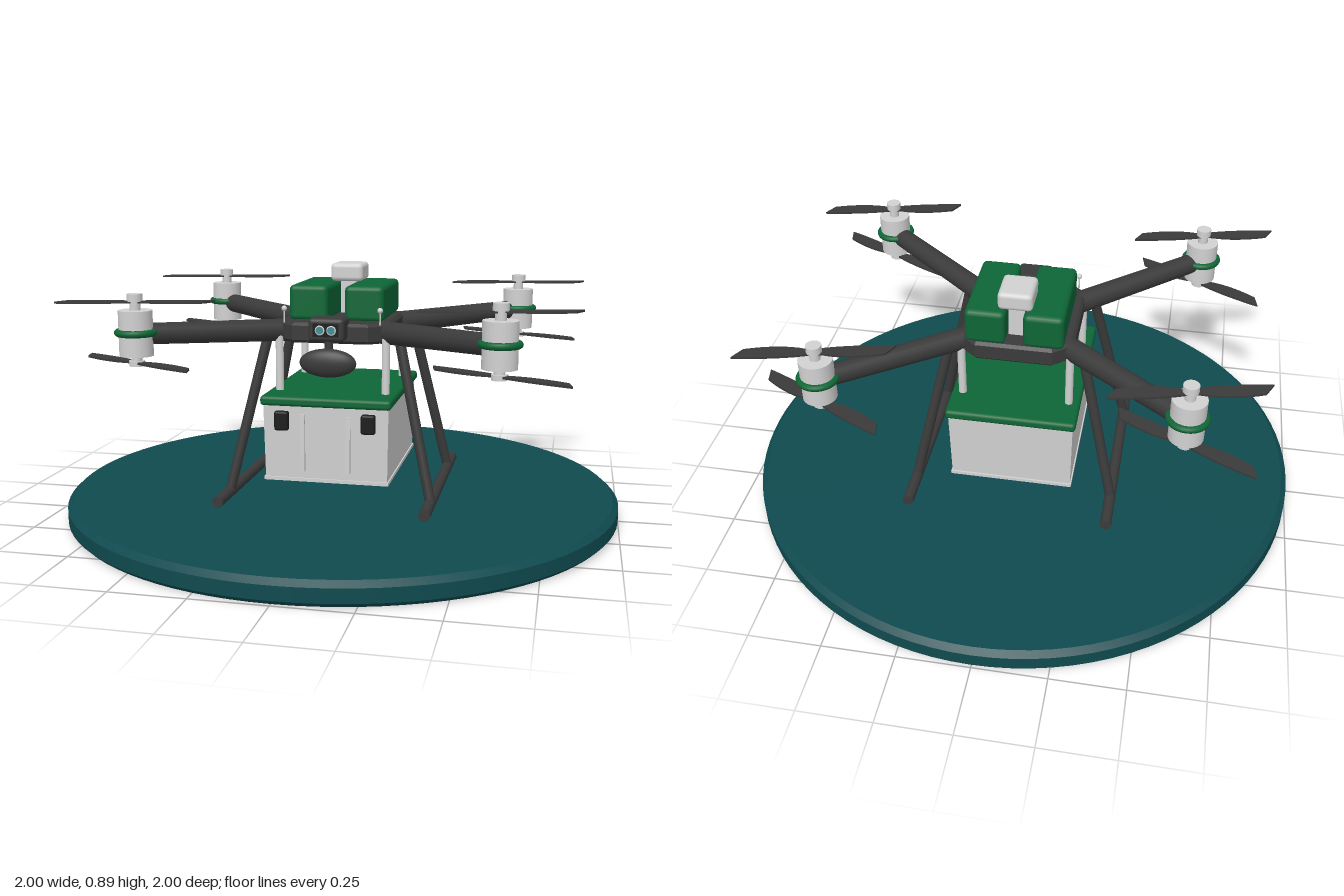
import * as THREE from 'three';
import { toCreasedNormals } from 'three/addons/utils/BufferGeometryUtils.js';
import { RoundedBoxGeometry } from 'three/addons/geometries/RoundedBoxGeometry.js';

const material = (name, color) => Object.assign(new THREE.MeshStandardMaterial({ color }), { name });

export function createModel() {
  const teal = material('padTeal', 0x0f4a4f);
  const green = material('casingGreen', 0x0e6636);
  const light = material('lightGrey', 0xd2d2d2);
  const dark = material('carbonGrey', 0x3a3a3a);
  const black = material('black', 0x1c1c1c);
  const lensBlue = material('lensTeal', 0x3f8f96);

  const model = new THREE.Group();
  model.name = 'deliveryDrone';

  const add = (name, geometry, mat, x = 0, y = 0, z = 0, parent = model) => {
    const mesh = new THREE.Mesh(geometry, mat);
    mesh.name = name;
    mesh.position.set(x, y, z);
    parent.add(mesh);
    return mesh;
  };
  const box = (w, h, d, r) => (r ? new RoundedBoxGeometry(w, h, d, 2, r) : new THREE.BoxGeometry(w, h, d));
  const cyl = (r, h, top = r, sides = 24) => new THREE.CylinderGeometry(top, r, h, sides);

  // Tapered rod between two points
  const rod = (name, a, b, ra, rb, mat) => {
    const from = new THREE.Vector3(...a), to = new THREE.Vector3(...b);
    const dir = to.clone().sub(from);
    const mesh = add(name, cyl(ra, dir.length(), rb, 20), mat);
    mesh.position.copy(from).add(to).multiplyScalar(0.5);
    mesh.quaternion.setFromUnitVectors(new THREE.Vector3(0, 1, 0), dir.normalize());
  };

  // Round landing pad with chamfered rim
  const padProfile = [[0, 0], [0.985, 0], [1, 0.015], [1, 0.062], [0.98, 0.08], [0, 0.08]]
    .map(([x, y]) => new THREE.Vector2(x, y));
  add('landingPad', toCreasedNormals(new THREE.LatheGeometry(padProfile, 96), 0.4), teal);

  // Central frame: plate with cut corners
  const outline = new THREE.Shape([
    [-0.19, -0.16], [-0.13, -0.21], [0.13, -0.21], [0.19, -0.16],
    [0.19, 0.16], [0.13, 0.21], [-0.13, 0.21], [-0.19, 0.16],
  ].map(([x, y]) => new THREE.Vector2(x, y)));
  const frame = new THREE.ExtrudeGeometry(outline, {
    depth: 0.05, bevelEnabled: true, bevelThickness: 0.01, bevelSize: 0.01, bevelSegments: 1,
  });
  frame.rotateX(-Math.PI / 2);
  add('centralFrame', frame, dark, 0, 0.65, 0);

  // Twin batteries and the mast with its receiver
  for (const s of [-1, 1]) {
    add('battery', box(0.14, 0.125, 0.34, 0.018), green, s * 0.1, 0.768, -0.043);
    add('statusPost', cyl(0.003, 0.05, 0.003, 8), light, s * 0.17, 0.73, 0.187);
    add('statusBulb', new THREE.SphereGeometry(0.01, 12, 8), light, s * 0.17, 0.755, 0.187);
  }
  add('receiverMast', box(0.056, 0.14, 0.06), light, 0, 0.77, -0.12);
  add('receiver', box(0.12, 0.065, 0.135, 0.016), light, 0, 0.862, -0.12);

  // Front camera with two lenses, and the sensor pod below
  add('cameraHousing', box(0.125, 0.08, 0.1, 0.014), dark, 0, 0.695, 0.232);
  add('cameraFace', box(0.09, 0.045, 0.008), black, 0, 0.695, 0.281);
  for (const s of [-1, 1]) {
    const ring = add('lensRing', new THREE.TorusGeometry(0.014, 0.003, 8, 24), light, s * 0.02, 0.695, 0.285);
    add('lens', cyl(0.013, 0.006).rotateX(Math.PI / 2), lensBlue, 0, 0, 0, ring);
  }
  add('sensorPod', new THREE.SphereGeometry(1, 32, 20).scale(0.1, 0.05, 0.032), dark, 0, 0.578, 0.25);
  add('podMount', cyl(0.015, 0.06), dark, 0, 0.635, 0.235);

  // Cargo box, slightly narrower at the base
  const crate = box(0.44, 0.27, 0.585);
  const p = crate.attributes.position;
  for (let i = 0; i < p.count; i++) {
    if (p.getY(i) < 0) p.setXYZ(i, p.getX(i) * 0.98, p.getY(i), p.getZ(i) * 0.97);
  }
  crate.computeVertexNormals();
  add('cargoBox', crate, light, 0, 0.3, 0);
  add('cargoBase', box(0.44, 0.012, 0.58), light, 0, 0.169, 0);
  add('cargoLid', box(0.46, 0.034, 0.61, 0.012), green, 0, 0.447, 0);
  for (const s of [-1, 1]) {
    add('frontRib', box(0.015, 0.2, 0.016), light, s * 0.08, 0.302, 0.29);
    add('latch', box(0.05, 0.068, 0.026, 0.008), black, s * 0.152, 0.38, 0.302);
  }

  // Propeller blade pair: swept tip, flipped for the opposite spin
  const bladeShape = (flip) => {
    const s = new THREE.Shape();
    const f = flip ? -1 : 1;
    s.moveTo(0, 0.012 * f);
    s.quadraticCurveTo(0.1, 0.03 * f, 0.262, 0.016 * f);
    s.lineTo(0.228, -0.026 * f);
    s.quadraticCurveTo(0.11, -0.045 * f, 0.03, -0.016 * f);
    s.lineTo(0, -0.012 * f);
    return s;
  };
  const bladeGeometry = (flip) => new THREE.ExtrudeGeometry(bladeShape(flip), {
    depth: 0.007, bevelEnabled: false, curveSegments: 8,
  }).rotateX(-Math.PI / 2).translate(0, -0.0035, 0);
  const blades = [bladeGeometry(false), bladeGeometry(true)];

  const propeller = (parent, y, yaw, flip) => {
    const prop = new THREE.Group();
    prop.name = flip ? 'lowerPropeller' : 'upperPropeller';
    prop.position.y = y;
    prop.rotation.y = yaw;
    parent.add(prop);
    for (const turn of [0, Math.PI]) {
      add('blade', blades[flip ? 1 : 0], dark, 0, 0, 0, prop).rotation.y = turn;
    }
  };

  // Four corners: arm, motor pair, leg and cargo strut
  for (const sx of [-1, 1]) {
    for (const sz of [-1, 1]) {
      rod('arm', [sx * 0.17, 0.673, sz * 0.135], [sx * 0.57, 0.692, sz * 0.456], 0.04, 0.036, dark);
      rod('leg', [sx * 0.235, 0.655, sz * 0.168], [sx * 0.36, 0.105, sz * 0.247], 0.018, 0.018, dark);
      rod('legBracket', [sx * 0.17, 0.665, sz * 0.16], [sx * 0.24, 0.66, sz * 0.17], 0.024, 0.024, dark);
      add('cargoStrut', cyl(0.014, 0.2), light, sx * 0.19, 0.56, sz * 0.18);

      const motor = new THREE.Group();
      motor.name = 'motor';
      motor.position.set(sx * 0.6, 0, sz * 0.48);
      model.add(motor);
      add('motorCan', cyl(0.057, 0.152), light, 0, 0.697, 0, motor);
      add('motorBand', new THREE.TorusGeometry(0.06, 0.012, 10, 32).rotateX(Math.PI / 2), green, 0, 0.699, 0, motor);
      add('upperShaft', cyl(0.018, 0.05), light, 0, 0.785, 0, motor);
      add('upperHub', cyl(0.026, 0.025), light, 0, 0.815, 0, motor);
      add('lowerShaft', cyl(0.018, 0.03), light, 0, 0.61, 0, motor);
      add('lowerHub', cyl(0.026, 0.018), light, 0, 0.595, 0, motor);
      propeller(motor, 0.8, 0.235, false);
      propeller(motor, 0.597, -0.48, true);
    }
    // Landing skid
    add('skid', cyl(0.02, 0.79).rotateX(Math.PI / 2), dark, sx * 0.36, 0.1, 0);
  }

  return model;
}
